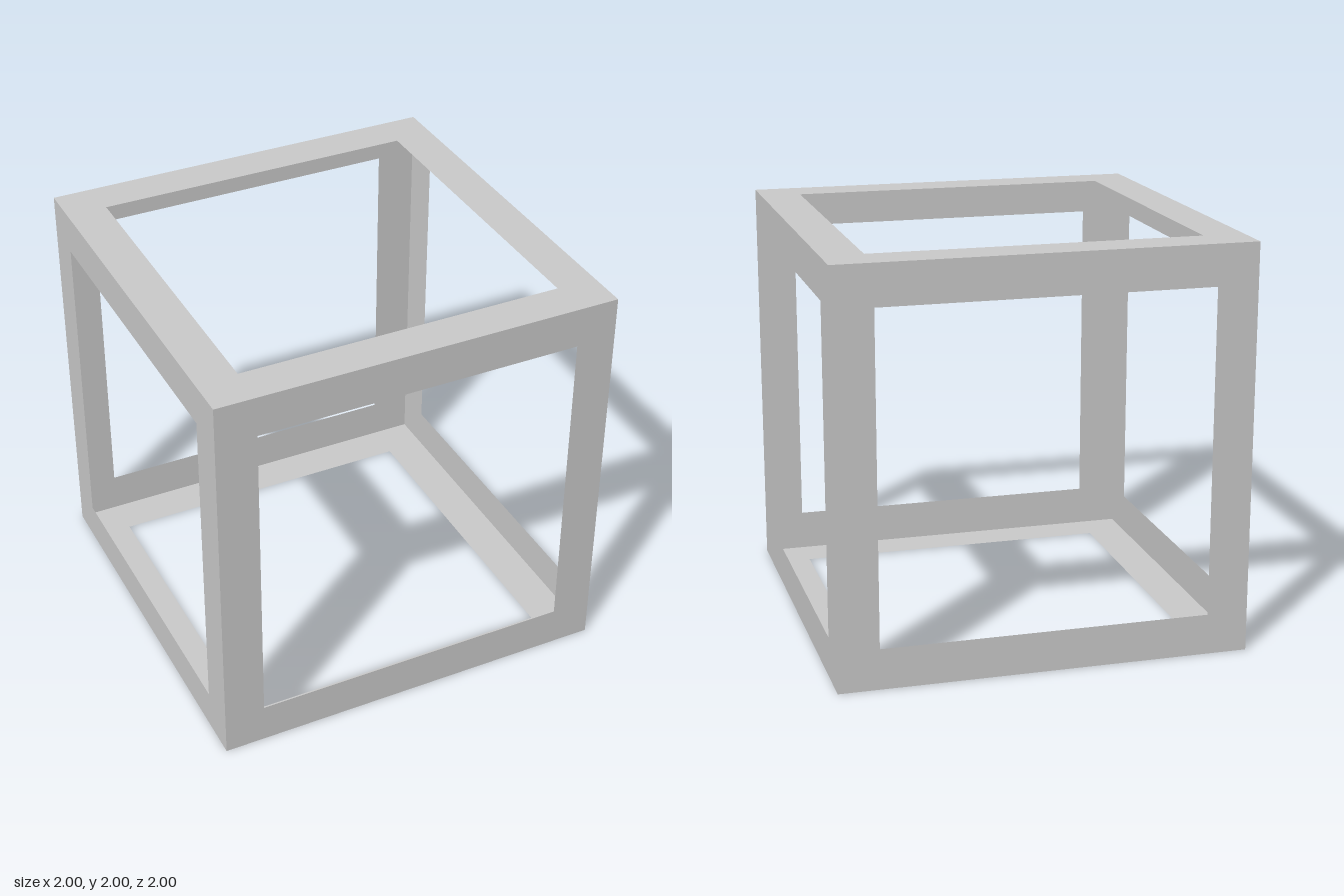
import * as THREE from 'three';

const HALF = 1;      // half the cube's edge
const OPENING = 0.8; // half the window's edge

// Closed square outline centred on the origin
function square(PathType, h) {
  return new PathType([
    new THREE.Vector2(-h, -h), new THREE.Vector2(h, -h),
    new THREE.Vector2(h, h), new THREE.Vector2(-h, h),
  ]);
}

export function createModel() {
  const group = new THREE.Group();
  group.name = 'openCubeFrame';
  const material = new THREE.MeshStandardMaterial({ color: 0xcccccc, side: THREE.DoubleSide });

  // One paper-thin square border, pushed out to the cube's face
  const outline = square(THREE.Shape, HALF);
  outline.holes.push(square(THREE.Path, OPENING));
  const border = new THREE.ShapeGeometry(outline).translate(0, 0, HALF);

  // Six borders turned to face outwards: name, x turn, y turn
  const quarter = Math.PI / 2;
  const faces = [
    ['frontFrame', 0, 0],
    ['leftFrame', 0, quarter],
    ['backFrame', 0, 2 * quarter],
    ['rightFrame', 0, -quarter],
    ['topFrame', -quarter, 0],
    ['bottomFrame', quarter, 0],
  ];
  for (const [name, turnX, turnY] of faces) {
    const frame = new THREE.Mesh(border, material);
    frame.name = name;
    frame.rotation.set(turnX, turnY, 0);
    frame.position.y = HALF;
    group.add(frame);
  }
  return group;
}
